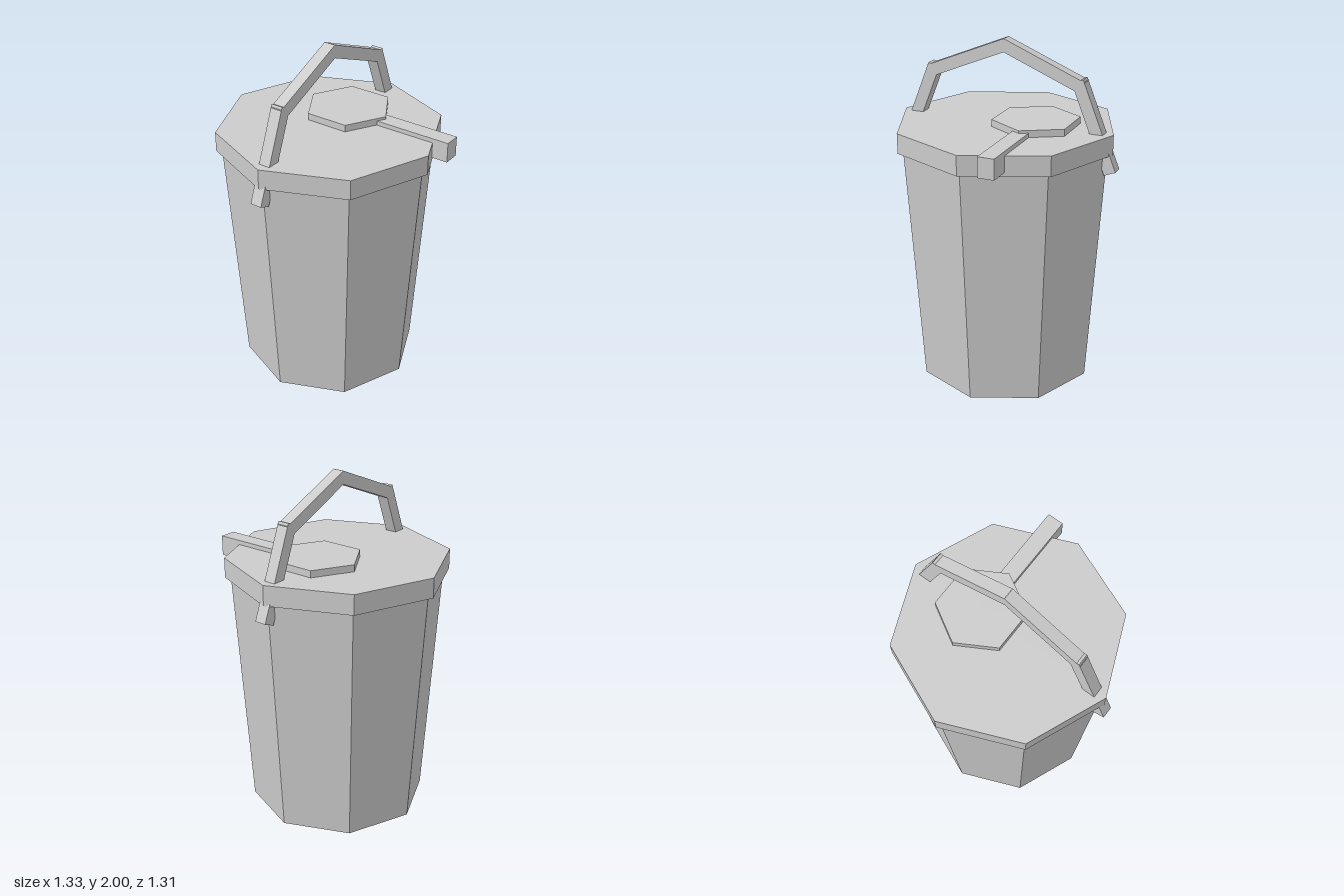
import * as THREE from 'three';

const CZ = -0.02; // axis of the bucket in z

export function createModel() {
  const group = new THREE.Group();
  const solid = new THREE.MeshStandardMaterial({ color: 0xcccccc, flatShading: true });
  const shell = new THREE.MeshStandardMaterial({ color: 0xcccccc, flatShading: true, side: THREE.DoubleSide });

  function add(name, geometry, x, y, z, material = solid) {
    const mesh = new THREE.Mesh(geometry, material);
    mesh.name = name;
    mesh.position.set(x, y, z);
    group.add(mesh);
    return mesh;
  }

  // Tapered eight-sided wall, open at the bottom
  add('bucketWall', new THREE.CylinderGeometry(0.605, 0.513, 1.41, 8, 1, true), 0, 0.705, CZ, shell);

  // Overhanging lid
  add('lid', new THREE.CylinderGeometry(0.637, 0.637, 0.115, 8), 0, 1.4625, CZ);

  // Off-centre hexagonal cap and the latch bar running over the front edge
  add('cap', new THREE.CylinderGeometry(0.25, 0.25, 0.06, 6), 0.183, 1.53, CZ);
  add('latchBar', new THREE.BoxGeometry(0.095, 0.115, 0.535), 0.183, 1.4875, 0.3875);

  // Handle: two straight square bars per side, overlapping slightly at the joints
  function bar(name, a, b) {
    const d = b.clone().sub(a);
    const mid = a.clone().add(b).multiplyScalar(0.5);
    const mesh = add(name, new THREE.BoxGeometry(d.length(), 0.07, 0.068), mid.x, mid.y, CZ);
    mesh.rotation.z = Math.atan2(d.y, d.x);
  }
  for (const [label, s] of [['left', 1], ['right', -1]]) {
    bar(label + 'HandleTop', new THREE.Vector2(-0.014 * s, 1.965), new THREE.Vector2(0.46 * s, 1.77));
    bar(label + 'HandleSide', new THREE.Vector2(0.432 * s, 1.805), new THREE.Vector2(0.633 * s, 1.305));
  }

  return group;
}
